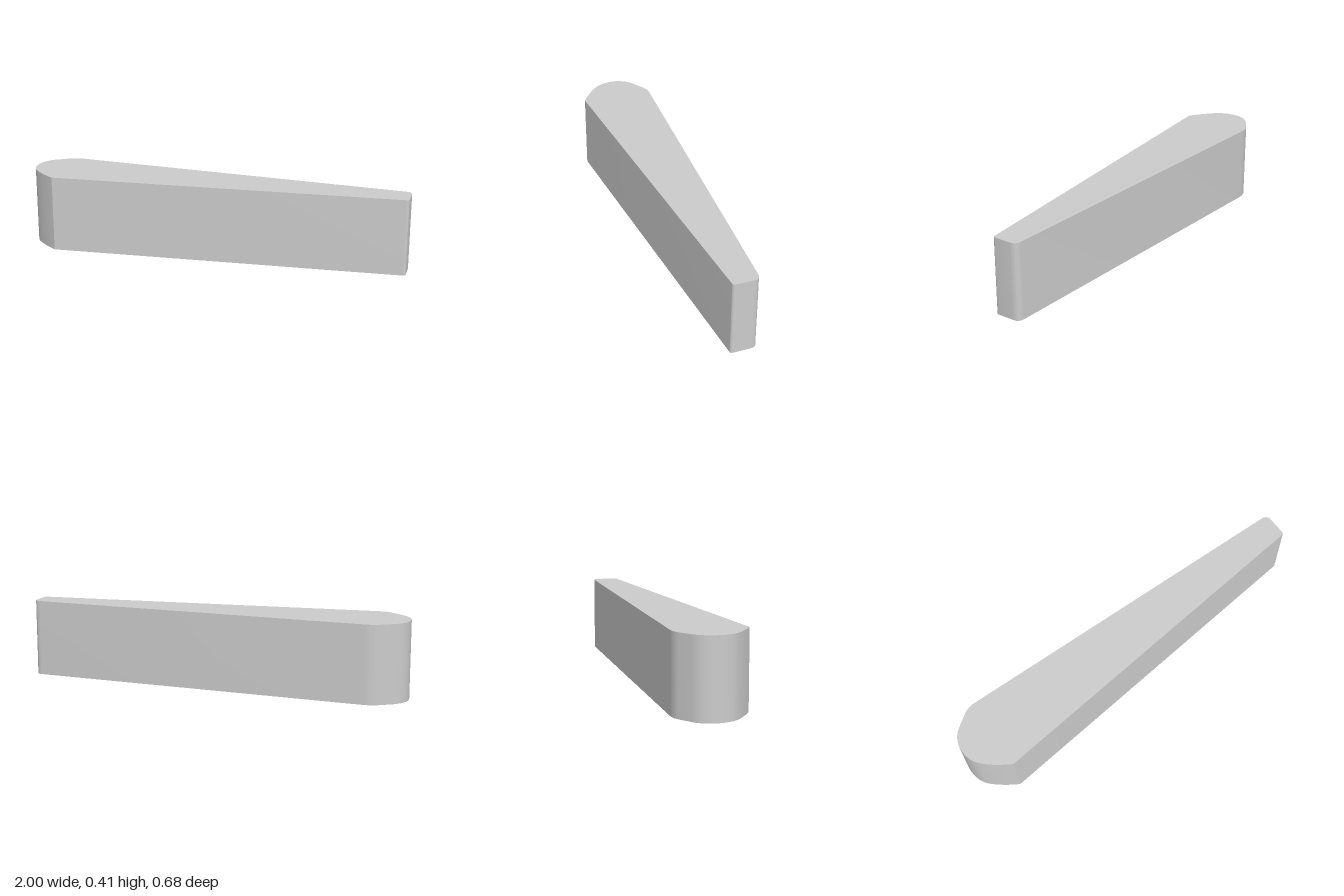
import * as THREE from 'three';
import { toCreasedNormals } from 'three/addons/utils/BufferGeometryUtils.js';

const HEIGHT = 0.405;

// Plan outline, drawn with shape y = -z
function wedgeOutline() {
  const s = new THREE.Shape();
  s.moveTo(-0.79, -0.34);
  s.lineTo(0.99, 0.21);
  // narrow tip with a rounded back corner
  s.quadraticCurveTo(1.0, 0.213, 0.998, 0.225);
  s.lineTo(0.977, 0.315);
  s.quadraticCurveTo(0.969, 0.346, 0.935, 0.341);
  s.lineTo(-0.84, 0.035);
  // blunt rounded end
  s.quadraticCurveTo(-0.883, 0.027, -0.91, 0);
  s.lineTo(-0.96, -0.05);
  s.quadraticCurveTo(-1.0, -0.09, -1.0, -0.15);
  s.quadraticCurveTo(-0.99, -0.235, -0.93, -0.273);
  s.quadraticCurveTo(-0.875, -0.31, -0.79, -0.34);
  return s;
}

export function createModel() {
  const group = new THREE.Group();
  const geometry = new THREE.ExtrudeGeometry(wedgeOutline(), {
    depth: HEIGHT, bevelEnabled: false, curveSegments: 8,
  });
  geometry.rotateX(-Math.PI / 2);

  const body = new THREE.Mesh(
    toCreasedNormals(geometry, 0.45),
    new THREE.MeshStandardMaterial({ color: 0xcccccc }),
  );
  body.name = 'taperedBody';
  group.add(body);
  return group;
}
